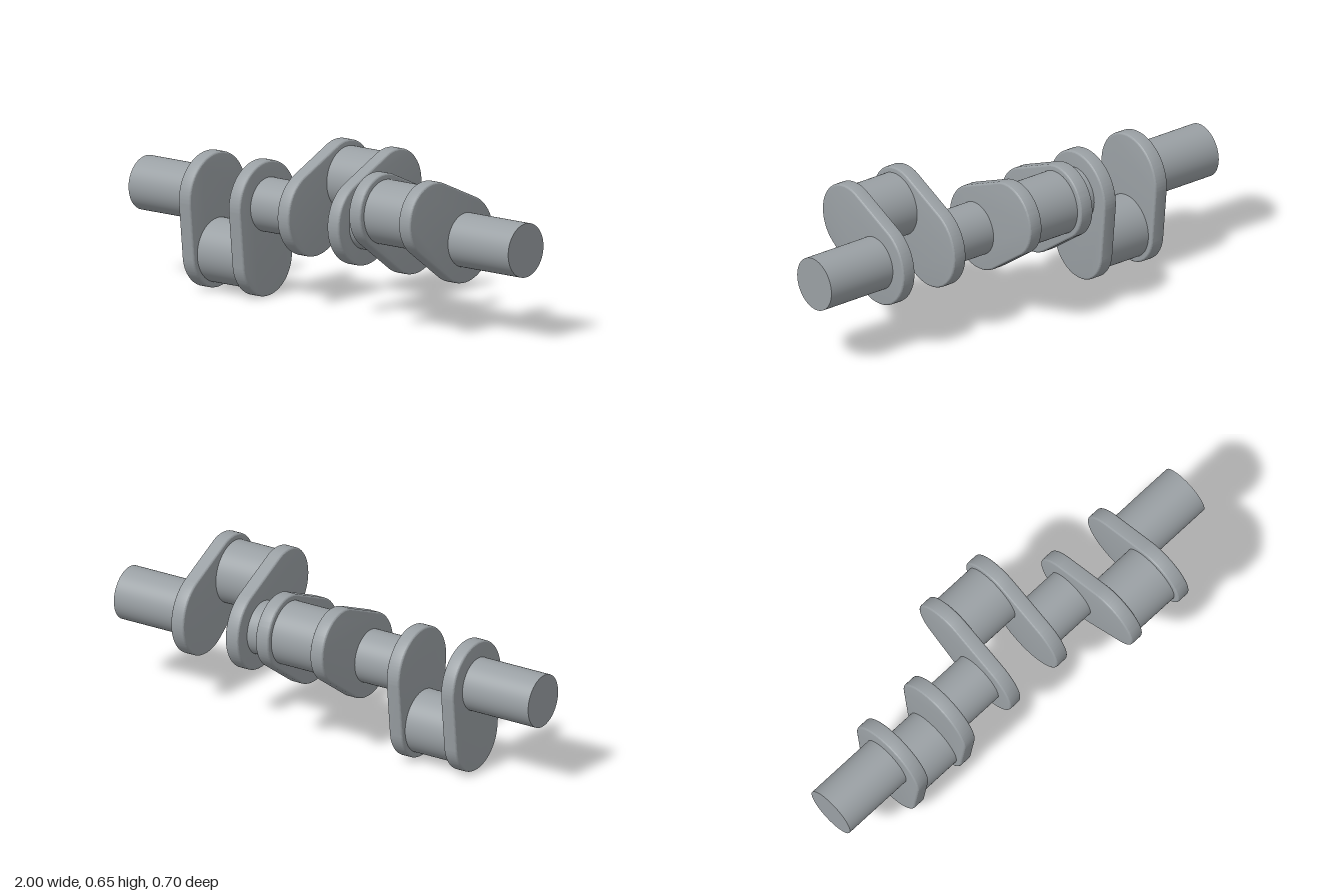
import * as THREE from 'three';
import { toCreasedNormals } from 'three/addons/utils/BufferGeometryUtils.js';

const AXIS_Y = 0.384;   // height of the shaft axis
const THROW = 0.225;    // offset of each crank pin from the axis
const JOURNAL_R = 0.112, PIN_R = 0.133;
const WEB_BIG_R = 0.18, WEB_SMALL_R = 0.157;
const WEB_IN = 0.1, WEB_OUT = 0.163; // web faces, measured from the throw centre
const BEVEL = 0.01;

// Tapered web: two round ends joined by tangents, with softened edges
function webGeometry() {
  const a = Math.asin((WEB_BIG_R - WEB_SMALL_R) / THROW);
  const shape = new THREE.Shape();
  shape.absarc(0, 0, WEB_BIG_R - BEVEL, Math.PI - a, 2 * Math.PI + a, false);
  shape.absarc(0, THROW, WEB_SMALL_R - BEVEL, a, Math.PI - a, false);
  const depth = WEB_OUT - WEB_IN - 2 * BEVEL;
  const geo = new THREE.ExtrudeGeometry(shape, {
    depth, curveSegments: 48,
    bevelEnabled: true, bevelSize: BEVEL, bevelThickness: BEVEL, bevelSegments: 4,
  });
  geo.translate(0, 0, -depth / 2);
  geo.rotateY(Math.PI / 2);
  return toCreasedNormals(geo, 0.2);
}

// Round bar along x
function bar(name, radius, x0, x1, material) {
  const geo = new THREE.CylinderGeometry(radius, radius, x1 - x0, 64);
  geo.rotateZ(-Math.PI / 2);
  const mesh = new THREE.Mesh(geo, material);
  mesh.name = name;
  mesh.position.x = (x0 + x1) / 2;
  return mesh;
}

export function createModel() {
  const steel = new THREE.MeshStandardMaterial({ color: 0x9aa0a4 });
  steel.name = 'steel grey';

  const model = new THREE.Group();
  model.name = 'crankshaft';
  const shaft = new THREE.Group();
  shaft.name = 'shaft';
  shaft.position.y = AXIS_Y;
  model.add(shaft);

  // Throws, 120 degrees apart: down, up and back, up and front
  const throws = [
    { x: -0.52, angle: Math.PI },
    { x: 0, angle: -Math.PI / 3 },
    { x: 0.52, angle: Math.PI / 3 },
  ];
  const webGeo = webGeometry();
  throws.forEach(({ x, angle }, i) => {
    const crank = new THREE.Group();
    crank.name = `throw${i + 1}`;
    crank.position.x = x;
    crank.rotation.x = angle;
    for (const side of [-1, 1]) {
      const web = new THREE.Mesh(webGeo, steel);
      web.name = side < 0 ? 'rightWeb' : 'leftWeb';
      web.position.x = side * (WEB_IN + WEB_OUT) / 2;
      crank.add(web);
    }
    const pin = bar('crankPin', PIN_R, -WEB_IN - 0.01, WEB_IN + 0.01, steel);
    pin.position.y = THROW;
    crank.add(pin);
    shaft.add(crank);
  });

  // Main journals between the throws and at both ends
  const sink = WEB_OUT - 0.01;
  const stops = [-1, ...throws.flatMap(({ x }) => [x - sink, x + sink]), 1];
  for (let i = 0; i < stops.length; i += 2) {
    shaft.add(bar(`mainJournal${i / 2 + 1}`, JOURNAL_R, stops[i], stops[i + 1], steel));
  }
  return model;
}
